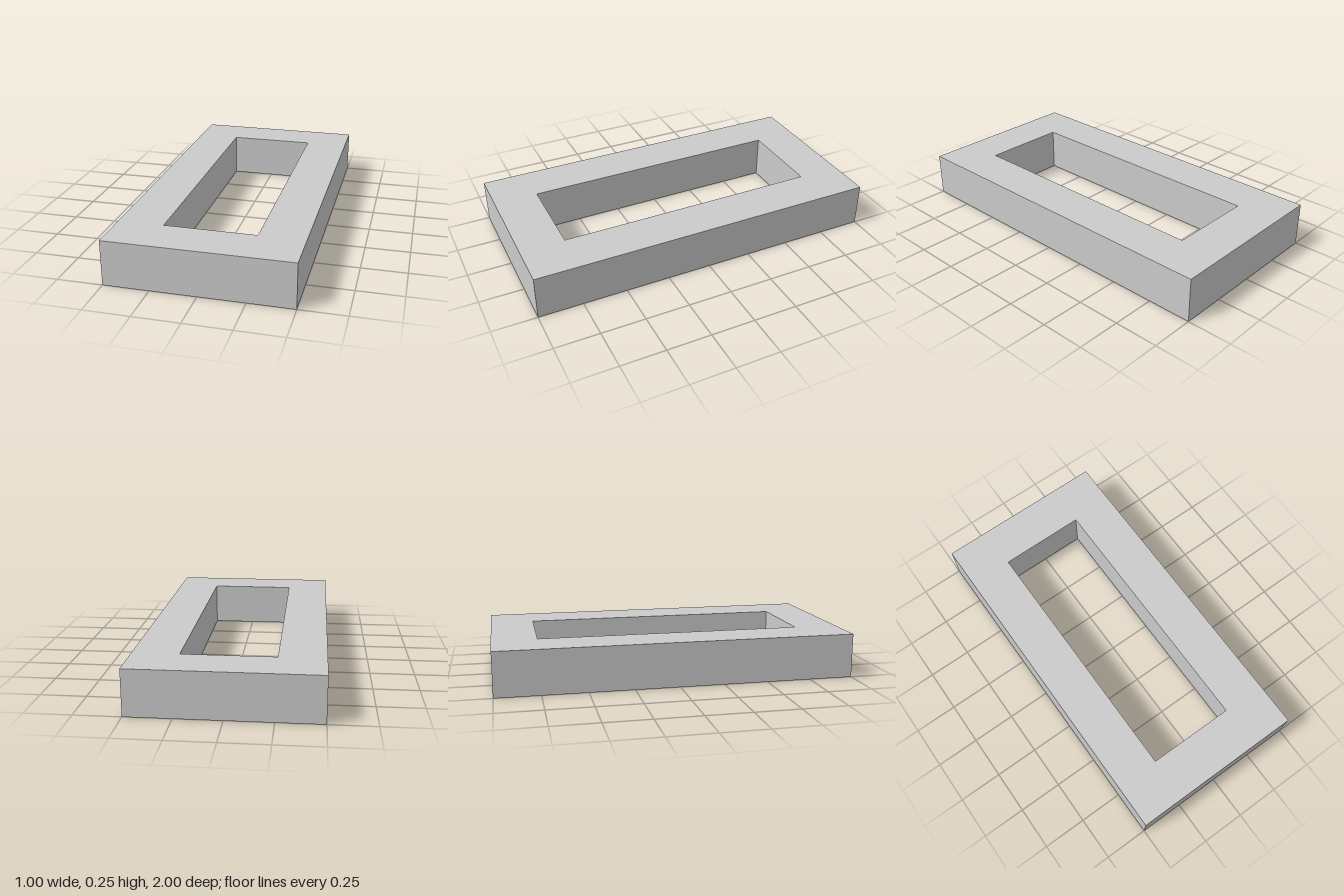
import * as THREE from 'three';

const WIDTH = 1, LENGTH = 2, HEIGHT = 0.25, BORDER = 0.25;

// Traces a rectangle centred on the origin
function rectangle(path, w, l) {
  path.moveTo(-w / 2, -l / 2);
  path.lineTo(w / 2, -l / 2);
  path.lineTo(w / 2, l / 2);
  path.lineTo(-w / 2, l / 2);
  path.closePath();
  return path;
}

export function createModel() {
  const group = new THREE.Group();
  group.name = 'rectangularFrame';

  // Flat frame with a rectangular opening through it
  const outline = rectangle(new THREE.Shape(), WIDTH, LENGTH);
  outline.holes.push(rectangle(new THREE.Path(), WIDTH - 2 * BORDER, LENGTH - 2 * BORDER));

  const geometry = new THREE.ExtrudeGeometry(outline, { depth: HEIGHT, bevelEnabled: false });
  geometry.rotateX(-Math.PI / 2); // lay it flat, extruded upwards from y = 0

  const material = new THREE.MeshStandardMaterial({ color: 0xcccccc, flatShading: true });
  const frame = new THREE.Mesh(geometry, material);
  frame.name = 'frame';
  group.add(frame);
  return group;
}
